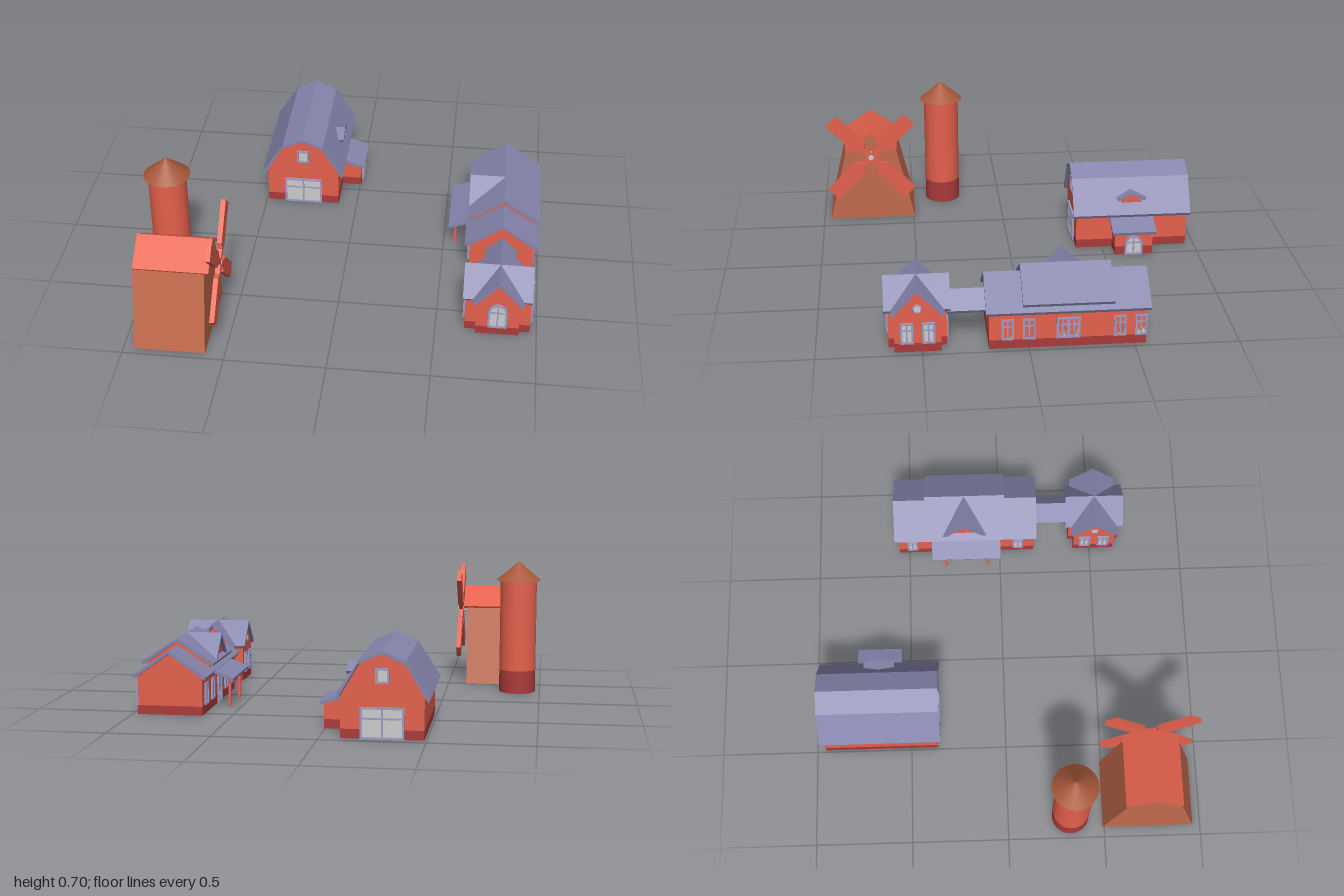
import * as THREE from 'three';

const mat = (color) => new THREE.MeshStandardMaterial({ color, flatShading: true });
const RED = mat(0xe4604c), BAND = mat(0xaa3a3a), ROOF = mat(0x8685ad), TRIM = mat(0x9c9bc4);
const BROWN = mat(0xc26a4c), RUST = mat(0xa8583a), GLASS = mat(0xcccccc);
const BASE = 0.045;

function mesh(name, geo, material, parent) {
  const m = new THREE.Mesh(geo, material);
  m.name = name;
  parent.add(m);
  return m;
}

function group(name, parent) {
  const g = new THREE.Group();
  g.name = name;
  if (parent) parent.add(g);
  return g;
}

// Profile [u, y] swept from a to b along z (u = x) or along x (u = z)
function sweep(name, pts, axis, a, b, material, parent) {
  const shape = new THREE.Shape(pts.map(([u, y]) => new THREE.Vector2(u, y)));
  const geo = new THREE.ExtrudeGeometry(shape, { depth: b - a, bevelEnabled: false });
  if (axis === 'x') geo.rotateY(-Math.PI / 2).translate(b, 0, 0);
  else geo.translate(0, 0, a);
  return mesh(name, geo, material, parent);
}

function box(name, x0, x1, y0, y1, z0, z1, material, parent) {
  const m = mesh(name, new THREE.BoxGeometry(x1 - x0, y1 - y0, z1 - z0), material, parent);
  m.position.set((x0 + x1) / 2, (y0 + y1) / 2, (z0 + z1) / 2);
  return m;
}

// Roof slab following the top line, with eaves cut square to the slope
function roof(name, top, axis, a, b, parent, material = ROOF, t = 0.016) {
  const mid = (top[0][0] + top[top.length - 1][0]) / 2;
  const under = top.map(([u, y], i) => {
    const eave = i === 0 || i === top.length - 1;
    return [eave ? u + Math.sign(mid - u) * t * 0.6 : u, y - t];
  });
  return sweep(name, [...top, ...under.reverse()], axis, a, b, material, parent);
}

const gable = (c, half, eave, peak) => [[c - half, eave], [c, peak], [c + half, eave]];

// Gabled wall block standing on a dark plinth
function walls(name, c, half, eave, peak, axis, a, b, parent) {
  const rect = [[c - half, 0], [c + half, 0], [c + half, BASE], [c - half, BASE]];
  sweep(name + 'Plinth', rect, axis, a, b, BAND, parent);
  const pts = [[c - half, BASE], [c + half, BASE], [c + half, eave], [c, peak], [c - half, eave]];
  sweep(name, pts, axis, a, b, RED, parent);
}

function outline(w, h, arch, Type) {
  const s = new Type();
  const r = w / 2;
  s.moveTo(-r, 0);
  s.lineTo(r, 0);
  if (arch) {
    s.lineTo(r, h - r);
    s.absarc(0, h - r, r, 0, Math.PI, false);
  } else {
    s.lineTo(r, h);
    s.lineTo(-r, h);
  }
  s.closePath();
  return s;
}

// Framed opening with glazing bars, turned to face the given direction
function opening(name, x, y, z, w, h, turn, parent, { arch = false, bars = true, f = 0.01 } = {}) {
  const g = group(name, parent);
  const frame = outline(w, h, arch, THREE.Shape);
  const hole = outline(w - 2 * f, h - 2 * f, arch, THREE.Path);
  frame.holes.push(new THREE.Path(hole.getPoints(8).map((p) => new THREE.Vector2(p.x, p.y + f))));
  mesh('frame', new THREE.ExtrudeGeometry(frame, { depth: 0.01, bevelEnabled: false, curveSegments: 8 }), TRIM, g);
  const pane = new THREE.ExtrudeGeometry(outline(w - f, h - f, arch, THREE.Shape),
    { depth: 0.004, bevelEnabled: false, curveSegments: 8 });
  mesh('pane', pane.translate(0, f / 2, 0), GLASS, g);
  if (bars) {
    box('uprightBar', -0.004, 0.004, f, h - f, 0, 0.007, TRIM, g);
    box('crossBar', -w / 2 + f, w / 2 - f, h * 0.64 - 0.004, h * 0.64 + 0.004, 0, 0.007, TRIM, g);
  }
  g.position.set(x, y, z);
  g.rotation.y = turn;
}

const EAST = Math.PI / 2, WEST = -Math.PI / 2, NORTH = Math.PI;

function silo(parent) {
  const g = group('silo', parent);
  const smooth = (m) => { const c = m.clone(); c.flatShading = false; return c; };
  const part = (name, r0, r1, y0, y1, m) =>
    mesh(name, new THREE.CylinderGeometry(r1, r0, y1 - y0, 32).translate(0, (y0 + y1) / 2, 0), smooth(m), g);
  part('siloBase', 0.096, 0.096, 0, 0.12, BAND);
  part('siloBody', 0.096, 0.096, 0.12, 0.6, RED);
  part('siloRoof', 0.117, 0, 0.6, 0.7, RUST);
  g.position.set(-0.88, 0, 0.325);
}

function windmill(parent) {
  const g = group('windmill', parent);
  const c = 0.727;
  sweep('tower', [[c - 0.235, 0], [c + 0.235, 0], [c + 0.135, 0.42], [c, 0.508], [c - 0.135, 0.42]],
    'x', -0.947, -0.597, BROWN, g);
  roof('millRoof', gable(c, 0.143, 0.42, 0.522), 'x', -0.945, -0.575, g, RED);
  // Four sails on a hub
  const sails = group('sails', g);
  const half = [[0.014, 0], [0.014, 0.06], [0.028, 0.078], [0.039, 0.085], [0.039, 0.3]];
  const pts = [...half, ...half.map(([u, y]) => [-u, y]).reverse()];
  for (let i = 0; i < 4; i++) {
    sweep('sail', pts, 'x', -0.012, 0.012, RED, sails).rotation.x = Math.PI / 4 + i * Math.PI / 2;
  }
  const hub = mesh('hub', new THREE.CylinderGeometry(0.015, 0.015, 0.07, 12), GLASS, sails);
  hub.rotation.z = Math.PI / 2;
  hub.position.x = -0.02;
  sails.position.set(-0.552, 0.385, c);
}

function barn(parent) {
  const g = group('barn', parent);
  const c = -0.295, z0 = -0.955, z1 = -0.36;
  box('barnPlinth', c - 0.195, c + 0.195, 0, BASE, z0, z1, BAND, g);
  sweep('barnWalls', [[c - 0.195, BASE], [c + 0.195, BASE], [c + 0.195, 0.2], [c + 0.104, 0.352],
    [c, 0.402], [c - 0.104, 0.352], [c - 0.195, 0.2]], 'z', z0, z1, RED, g);
  roof('barnRoof', [[c - 0.222, 0.193], [c - 0.11, 0.366], [c, 0.415], [c + 0.11, 0.366], [c + 0.222, 0.193]],
    'z', -0.972, -0.343, g);
  for (const [z, turn] of [[z1, 0], [z0, NORTH]]) {
    opening('barnDoor', c, 0, z, 0.205, 0.15, turn, g);
    opening('loftWindow', c, 0.26, z, 0.065, 0.072, turn, g, { bars: false });
  }
  // Side annex under a lean-to roof
  box('annexPlinth', -0.11, 0.005, 0, BASE, -0.756, -0.555, BAND, g);
  sweep('annexWalls', [[-0.11, BASE], [0.005, BASE], [0.005, 0.126], [-0.11, 0.16]], 'z', -0.756, -0.555, RED, g);
  sweep('annexRoof', [[-0.12, 0.176], [-0.12, 0.16], [0.02, 0.118], [0.025, 0.133]], 'z', -0.775, -0.54, ROOF, g);
  opening('annexDoor', 0.005, 0, -0.655, 0.095, 0.108, EAST, g, { arch: true });
  // Small dormer
  sweep('dormerWall', [[-0.71, 0.25], [-0.6, 0.25], [-0.6, 0.275], [-0.655, 0.3], [-0.71, 0.275]],
    'x', -0.17, -0.11, RED, g);
  roof('dormerRoof', gable(-0.655, 0.08, 0.276, 0.312), 'x', -0.16, -0.097, g, ROOF, 0.014);
}

function house(parent) {
  const g = group('house', parent);
  const c = 0.808, xw = 0.643, xe = 0.968;
  walls('houseWalls', c, 0.164, 0.19, 0.305, 'z', -0.556, 0.188, g);
  sweep('raisedWalls', [[xw, 0.18], [xe, 0.18], [xe, 0.232], [c, 0.345], [xw, 0.232]], 'z', -0.385, 0.015, RED, g);
  roof('lowRoof', gable(c, 0.19, 0.196, 0.324), 'z', -0.575, 0.203, g);
  roof('raisedRoof', gable(c, 0.19, 0.237, 0.362), 'z', -0.402, 0.03, g);
  // Cross gable over the porch
  const mid = -0.19;
  sweep('crossGableWall', [[mid - 0.1, 0.18], [mid + 0.1, 0.18], [mid + 0.1, 0.245], [mid, 0.345], [mid - 0.1, 0.245]],
    'x', 0.641, 0.7, RED, g);
  roof('crossGableRoof', gable(mid, 0.122, 0.24, 0.362), 'x', 0.625, c, g);
  // Porch
  sweep('porchRoof', [[0.65, 0.205], [0.65, 0.189], [0.53, 0.144], [0.525, 0.158]], 'z', -0.37, 0.003, ROOF, g);
  for (const z of [-0.3, -0.07]) box('porchPost', 0.555, 0.567, 0, 0.16, z - 0.006, z + 0.006, RED, g);
  opening('porchDoor', xw, 0, mid, 0.08, 0.14, WEST, g);
  // Windows
  for (const z of [0.1, 0, -0.158, -0.213, -0.43, -0.53])
    opening('houseWindow', xe, BASE, z, 0.058, 0.108, EAST, g);
  for (const z of [0.1, -0.04, -0.34, -0.48])
    opening('houseWindow', xw, BASE, z, 0.058, 0.108, WEST, g);
  // Open covered walk to the pavilion
  roof('walkRoof', gable(c, 0.079, 0.162, 0.242), 'z', 0.18, 0.4, g);
}

function pavilion(parent) {
  const g = group('pavilion', parent);
  const c = 0.805, d = 0.52;
  walls('crossWalls', d, 0.11, 0.2, 0.3, 'x', c - 0.162, c + 0.162, g);
  walls('frontWalls', c, 0.107, 0.2, 0.3, 'z', d - 0.138, d + 0.138, g);
  roof('crossRoof', gable(d, 0.126, 0.198, 0.325), 'x', c - 0.175, c + 0.165, g);
  roof('frontRoof', gable(c, 0.126, 0.198, 0.325), 'z', d - 0.157, d + 0.157, g);
  opening('archedWindow', c, BASE, d + 0.138, 0.095, 0.142, 0, g, { arch: true });
  opening('walkDoor', c, 0, d - 0.138, 0.08, 0.14, NORTH, g);
  for (const [x, turn] of [[c + 0.162, EAST], [c - 0.162, WEST]]) {
    for (const s of [-1, 1]) opening('sideWindow', x, BASE, d + s * 0.051, 0.062, 0.108, turn, g);
    const disc = mesh('roundWindow', new THREE.CylinderGeometry(0.016, 0.016, 0.012, 16), GLASS, g);
    const ring = mesh('roundFrame', new THREE.TorusGeometry(0.018, 0.005, 6, 16), TRIM, g);
    disc.rotation.z = Math.PI / 2;
    ring.rotation.y = turn;
    for (const m of [disc, ring]) m.position.set(x, 0.224, d);
  }
}

export function createModel() {
  const model = group('farmstead');
  for (const build of [silo, windmill, barn, house, pavilion]) build(model);
  return model;
}
